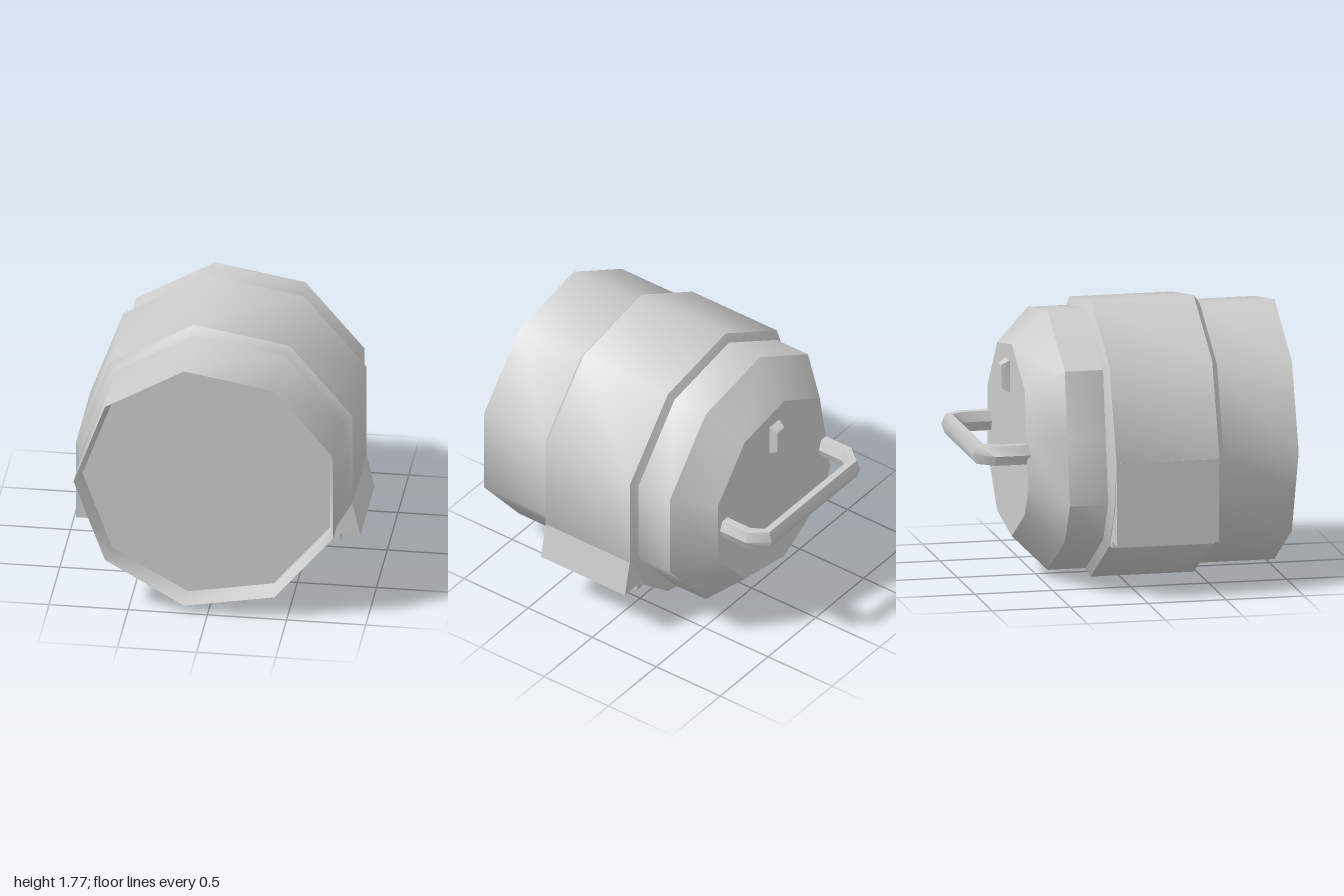
import * as THREE from 'three';
import { toCreasedNormals } from 'three/addons/utils/BufferGeometryUtils.js';

const CY = 0.886; // height of the drum axis

// Skin over closed rings of [x, y, z] points
function loft(rings) {
  const n = rings[0].length, index = [];
  for (let i = 0; i < rings.length - 1; i++) {
    for (let j = 0; j < n; j++) {
      const a = i * n + j, b = i * n + (j + 1) % n, c = a + n, d = b + n;
      index.push(a, c, b, b, c, d);
    }
  }
  const geo = new THREE.BufferGeometry();
  geo.setAttribute('position', new THREE.Float32BufferAttribute(rings.flat(2), 3));
  geo.setIndex(index);
  return toCreasedNormals(geo, 0.74);
}

// Nine-sided drum section; kind picks how the two lower corners are shaped
function drumRing(r, z, kind) {
  const at = (deg) => {
    const t = THREE.MathUtils.degToRad(deg);
    return [Math.cos(t), Math.sin(t)];
  };
  const mid = (p, q) => [(p[0] + q[0]) / 2, (p[1] + q[1]) / 2];
  const left = kind === 'back' ? mid(at(140), at(200)) : at(180);
  const lower = kind === 'front' ? mid(at(180), at(220)) : at(200);
  const right = kind === 'band' ? at(320) : mid(at(300), at(340));
  const pts = [at(20), at(60), at(100), at(140), left, lower, at(220), at(260), at(300), right, at(340)];
  return pts.map(([x, y]) => [x * r, CY + y * r, z]);
}

export function createModel() {
  const group = new THREE.Group();
  const mat = new THREE.MeshStandardMaterial({ color: 0xcccccc });
  const add = (name, geo) => {
    const mesh = new THREE.Mesh(geo, mat);
    mesh.name = name;
    group.add(mesh);
    return mesh;
  };

  // Drum: recessed front, raised middle band, bevelled back
  const profile = [
    [0, 0.88, 'front'], [0.805, 0.88, 'front'], [0.845, 1, 'front'], [0.845, 0.52, 'front'],
    [0.9, 0.48, 'band'], [0.9, -0.18, 'band'],
    [0.845, -0.21, 'back'], [0.845, -0.455, 'back'], [0.623, -0.675, 'back'], [0, -0.675, 'back'],
  ];
  add('drum', loft(profile.map((p) => drumRing(...p))));

  // Side feet with a stepped underside
  const foot = (name, pts) => {
    const shape = new THREE.Shape(pts.map(([x, y]) => new THREE.Vector2(x, y)));
    const geo = new THREE.ExtrudeGeometry(shape, { depth: 0.655, bevelEnabled: false });
    add(name, geo).position.z = -0.177;
  };
  foot('leftFoot', [[0.843, 0.585], [0.6, 0.585], [0.6, 0.312], [0.77, 0.312], [0.77, 0.35], [0.895, 0.35]]);
  foot('rightFoot', [[-0.9, 0.88], [-0.9, 0.35], [-0.77, 0.35], [-0.77, 0.312], [-0.65, 0.312], [-0.65, 0.88]]);

  // Back handle: six-sided bar with chamfered corners
  const outer = [[0.567, -0.65], [0.567, -0.88], [0.463, -1]];
  const inner = [[0.465, -0.65], [0.465, -0.85], [0.435, -0.912]];
  const barRing = (i, side) => Array.from({ length: 6 }, (_, k) => {
    const t = (k * Math.PI) / 3, f = (1 + Math.cos(t)) / 2;
    const x = inner[i][0] + (outer[i][0] - inner[i][0]) * f;
    const z = inner[i][1] + (outer[i][1] - inner[i][1]) * f;
    return [side * x, CY + 0.072 * Math.sin(t), z];
  });
  add('handle', loft([
    ...[0, 1, 2].map((i) => barRing(i, 1)),
    ...[2, 1, 0].map((i) => barRing(i, -1)),
  ]));

  // Small tapered latch above the handle
  const latchRing = (w, h, z) => [[w, -h], [w, h], [-w, h], [-w, -h]].map(([x, y]) => [x, 1.283 + y, z]);
  add('latch', loft([
    latchRing(0.05, 0.105, -0.66), latchRing(0.05, 0.1, -0.68),
    latchRing(0.038, 0.073, -0.727), latchRing(0, 0, -0.727),
  ]));

  return group;
}
